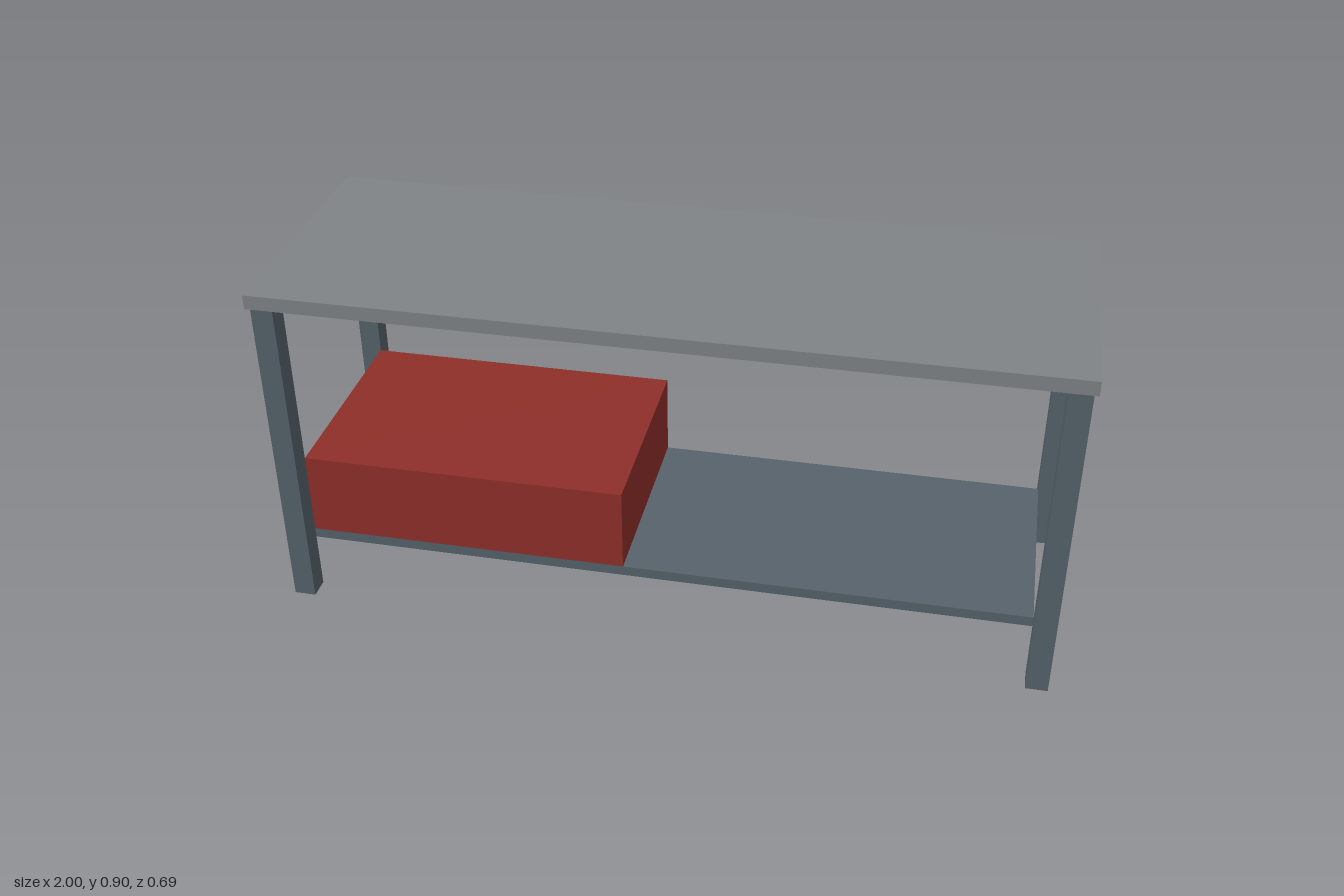
import * as THREE from 'three';

const steel = new THREE.MeshStandardMaterial({ color: 0x56626b });
const worktop = new THREE.MeshStandardMaterial({ color: 0x808487 });
const red = new THREE.MeshStandardMaterial({ color: 0x8f2f2a });

// Box given by its extents on each axis
function block(name, material, [x0, x1], [y0, y1], [z0, z1]) {
  const mesh = new THREE.Mesh(new THREE.BoxGeometry(x1 - x0, y1 - y0, z1 - z0), material);
  mesh.position.set((x0 + x1) / 2, (y0 + y1) / 2, (z0 + z1) / 2);
  mesh.name = name;
  return mesh;
}

export function createModel() {
  const bench = new THREE.Group();
  bench.name = 'workbench';

  // Worktop
  bench.add(block('worktop', worktop, [-1, 1], [0.867, 0.904], [-0.345, 0.345]));

  // Four square legs
  const leg = 0.056;
  for (const [sx, xName] of [[1, 'Left'], [-1, 'Right']]) {
    for (const [sz, zName] of [[1, 'front'], [-1, 'back']]) {
      const x = sx * 0.962, z = sz * 0.308;
      bench.add(block(`${zName}${xName}Leg`, steel,
        [x - leg / 2, x + leg / 2], [0, 0.867], [z - leg / 2, z + leg / 2]));
    }
  }

  // Lower shelf between the legs
  bench.add(block('lowerShelf', steel, [-0.934, 0.934], [0.153, 0.18], [-0.28, 0.28]));

  // Storage cabinet on the shelf
  bench.add(block('cabinet', red, [-0.934, -0.1], [0.18, 0.403], [-0.28, 0.28]));

  // Three thin drawer fronts along the back
  const drawers = new THREE.Group();
  drawers.name = 'drawerFronts';
  for (let i = 0; i < 3; i++) {
    const y = 0.556 + i * 0.09;
    drawers.add(block(`drawerFront${i + 1}`, red, [-0.9, -0.4], [y, y + 0.08], [-0.3, -0.28]));
  }
  bench.add(drawers);

  return bench;
}
